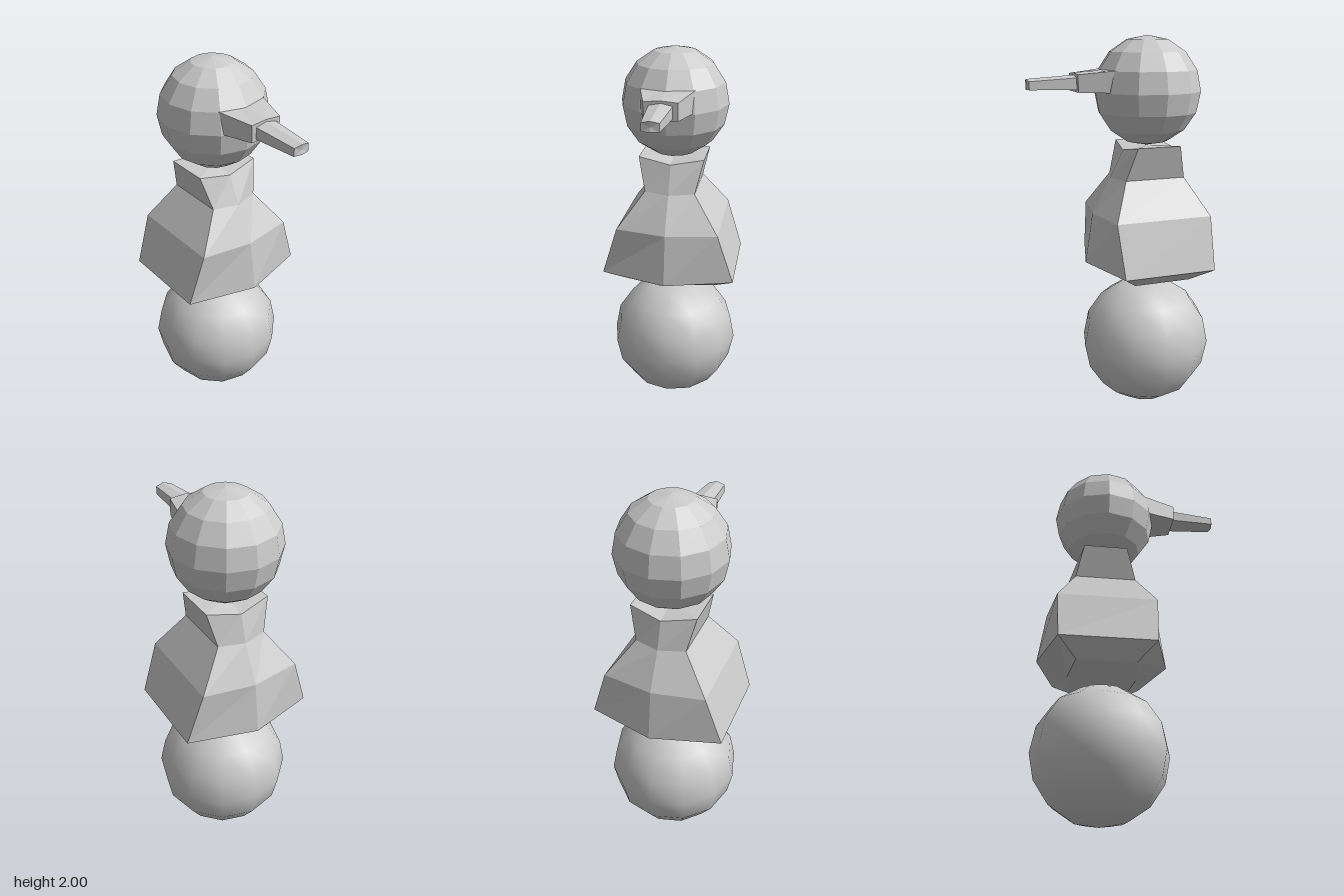
import * as THREE from 'three';

const CZ = -0.14; // depth of the main vertical axis

const material = (flatShading) => new THREE.MeshStandardMaterial({ color: 0xcccccc, flatShading });

function addMesh(group, name, geometry, flat = true) {
  const mesh = new THREE.Mesh(geometry, material(flat));
  mesh.name = name;
  group.add(mesh);
  return mesh;
}

// Closed skin through rings of equal point count, counter-clockwise around the loft direction
function loft(rings) {
  const n = rings[0].length;
  const pos = [];
  const tri = (a, b, c) => pos.push(...a, ...b, ...c);
  for (let r = 0; r < rings.length - 1; r++) {
    for (let i = 0; i < n; i++) {
      const j = (i + 1) % n;
      const [lo, hi] = [rings[r], rings[r + 1]];
      tri(lo[i], lo[j], hi[j]);
      tri(lo[i], hi[j], hi[i]);
    }
  }
  const cap = (ring, flip) => {
    const mid = [0, 1, 2].map((k) => ring.reduce((s, p) => s + p[k], 0) / n);
    for (let i = 0; i < n; i++) {
      const j = (i + 1) % n;
      if (flip) tri(mid, ring[j], ring[i]);
      else tri(mid, ring[i], ring[j]);
    }
  };
  cap(rings[0], true);
  cap(rings[rings.length - 1], false);
  const geo = new THREE.BufferGeometry();
  geo.setAttribute('position', new THREE.Float32BufferAttribute(pos, 3));
  geo.computeVertexNormals();
  return geo;
}

// Six-sided torso ring: half width, side height, middle height, front/back depths
const torsoRing = ([w, y, yMid, front, sideFront, sideBack, back]) => [
  [0, yMid, front], [w, y, sideFront], [w, y, sideBack],
  [0, yMid, back], [-w, y, sideBack], [-w, y, sideFront],
];

// Six-sided beak ring: half width, bottom, side top, ridge top, side depth, middle depth
const beakRing = ([w, bottom, top, ridge, z, zMid]) => [
  [w, bottom, z], [w, top, z], [0, ridge, zMid],
  [-w, top, z], [-w, bottom, z], [0, bottom, zMid],
];

export function createModel() {
  const model = new THREE.Group();
  model.name = 'birdFigure';

  // Smooth ball at the foot
  addMesh(model, 'baseBall', new THREE.SphereGeometry(0.35, 12, 8), false).position.set(0, 0.355, CZ);

  // Faceted torso with flared collar
  addMesh(model, 'torso', loft([
    [0.24, 0.76, 0.76, 0.04, 0.01, -0.29, -0.32],
    [0.35, 0.835, 0.835, 0.2, 0.1, -0.385, -0.48],
    [0.265, 1.1, 1.1, 0.16, 0.115, -0.395, -0.44],
    [0.13, 1.285, 1.285, 0.06, 0.02, -0.3, -0.34],
    [0.17, 1.455, 1.425, -0.01, -0.03, -0.26, -0.295],
  ].map(torsoRing)));

  // Faceted head
  addMesh(model, 'head', new THREE.SphereGeometry(0.277, 12, 8)).position.set(0, 1.723, CZ);

  // Beak in two stepped, tapering parts
  const beak = new THREE.Group();
  beak.name = 'beak';
  model.add(beak);
  addMesh(beak, 'beakBase', loft([
    [0.14, 1.725, 1.835, 1.838, 0.05, 0.05],
    [0.082, 1.73, 1.815, 1.822, 0.25, 0.25],
  ].map(beakRing)));
  addMesh(beak, 'beakTip', loft([
    [0.058, 1.74, 1.8, 1.812, 0.23, 0.23],
    [0.042, 1.745, 1.785, 1.795, 0.482, 0.49],
  ].map(beakRing)));

  return model;
}
